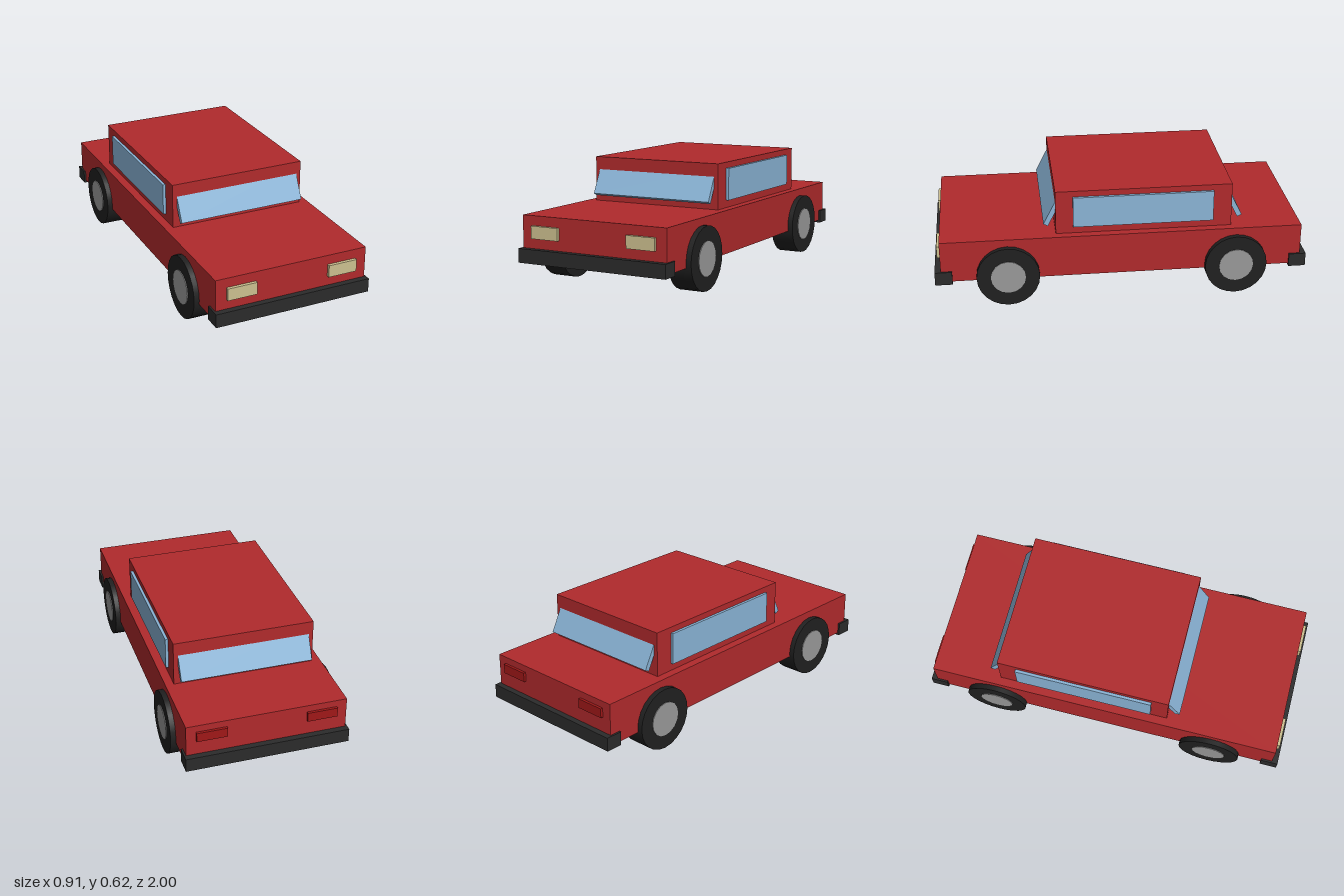
import * as THREE from 'three';

const mat = (color) => new THREE.MeshStandardMaterial({ color });

export function createModel() {
  const car = new THREE.Group();
  car.name = 'car';
  const red = mat(0xb02a2c), glass = mat(0x8ab4d6), black = mat(0x2b2b2b);
  const rubber = mat(0x202020), metal = mat(0x999999);
  const lamp = mat(0xccc08f), tailRed = mat(0xa01818);

  // Box given by its lower and upper corners
  const box = (name, material, [x0, y0, z0], [x1, y1, z1]) => {
    const mesh = new THREE.Mesh(new THREE.BoxGeometry(x1 - x0, y1 - y0, z1 - z0), material);
    mesh.position.set((x0 + x1) / 2, (y0 + y1) / 2, (z0 + z1) / 2);
    mesh.name = name;
    car.add(mesh);
    return mesh;
  };

  // Body and cabin
  box('body', red, [-0.422, 0.145, -0.968], [0.422, 0.375, 0.968]);
  box('cabin', red, [-0.377, 0.375, -0.59], [0.377, 0.617, 0.352]);

  // Bumpers
  box('frontBumper', black, [-0.432, 0.131, 0.908], [0.432, 0.205, 1]);
  box('rearBumper', black, [-0.432, 0.131, -1], [0.432, 0.205, -0.908]);

  // Sloping windscreens, hinged at the lower outer edge and sunk into the cabin
  const screen = (name, z, dir) => {
    const geometry = new THREE.BoxGeometry(0.706, 0.19, 0.027);
    geometry.translate(0, 0.095, -0.0135 * dir);
    const mesh = new THREE.Mesh(geometry, glass);
    mesh.position.set(0, 0.422, z);
    mesh.rotation.x = -0.47 * dir;
    mesh.name = name;
    car.add(mesh);
  };
  screen('frontWindscreen', 0.416, 1);
  screen('rearWindscreen', -0.652, -1);

  for (const [side, s] of [['left', 1], ['right', -1]]) {
    // Side window, headlight and tail light
    const pair = (name, material, x0, x1, y0, y1, z0, z1) =>
      box(side + name, material, [Math.min(s * x0, s * x1), y0, z0], [Math.max(s * x0, s * x1), y1, z1]);
    pair('Window', glass, 0.37, 0.392, 0.415, 0.585, -0.49, 0.26);
    pair('Headlight', lamp, 0.202, 0.362, 0.258, 0.324, 0.95, 0.985);
    pair('TailLight', tailRed, 0.21, 0.37, 0.287, 0.338, -0.982, -0.95);

    // Wheels: tyre with a hub showing on both faces
    for (const [end, z] of [['Front', 0.613], ['Rear', -0.613]]) {
      const wheel = new THREE.Group();
      wheel.name = side + end + 'Wheel';
      const tyre = new THREE.Mesh(new THREE.CylinderGeometry(0.168, 0.168, 0.131, 24), rubber);
      tyre.name = 'tyre';
      const hub = new THREE.Mesh(new THREE.CylinderGeometry(0.093, 0.093, 0.139, 16), metal);
      hub.name = 'hub';
      wheel.add(tyre, hub);
      wheel.rotation.z = Math.PI / 2;
      wheel.position.set(s * 0.385, 0.168, z);
      car.add(wheel);
    }
  }
  return car;
}
